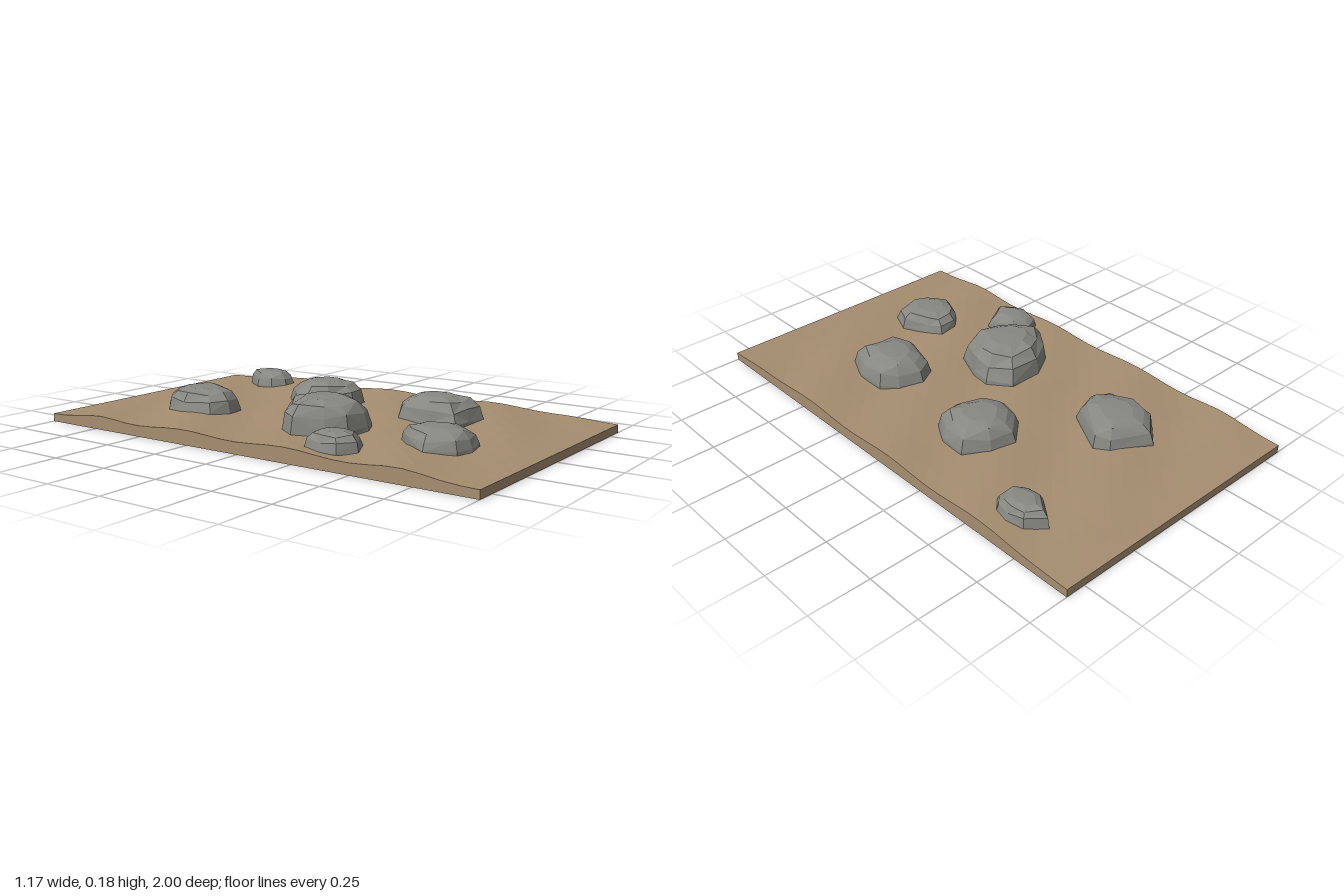
import * as THREE from 'three';

const sand = new THREE.MeshStandardMaterial({ color: 0xa68e70, flatShading: true });
sand.name = 'sandy brown';
const stone = new THREE.MeshStandardMaterial({ color: 0x888883, flatShading: true });
stone.name = 'stone grey';

// Height of the ground: diagonal ripples that die out towards both ends
function groundHeight(x, z) {
  const fade = THREE.MathUtils.smoothstep(1 - Math.abs(z), 0, 0.36);
  const ripple = -Math.sin((z + 0.67 * x - 0.46) * 4 * Math.PI);
  const swell = Math.sin(x * 9 + 1) * Math.cos(z * 7);
  return 0.033 + fade * (0.02 + 0.007 * ripple + 0.002 * swell);
}

// Slab whose top vertices follow the ripples
function makeGround() {
  const geo = new THREE.BoxGeometry(1.166, 0.033, 2, 16, 1, 28);
  const p = geo.attributes.position;
  for (let i = 0; i < p.count; i++) {
    p.setY(i, p.getY(i) > 0 ? groundHeight(p.getX(i), p.getZ(i)) : 0);
  }
  geo.computeVertexNormals();
  const mesh = new THREE.Mesh(geo, sand);
  mesh.name = 'ground';
  return mesh;
}

// Rings of a boulder: [share of outline, share of height, roundness]
const RINGS = [[1, 0, 0], [0.99, 0.22, 0], [0.91, 0.6, 0.15], [0.73, 0.86, 0.4], [0.44, 0.985, 0.6]];

// Boulder lofted from its ground outline up to a flattened crown
function makeRock({ name, top, outline }, seed) {
  const n = outline.length;
  const xs = outline.map((o) => o[0]), zs = outline.map((o) => o[1]);
  const cx = (Math.min(...xs) + Math.max(...xs)) / 2;
  const cz = (Math.min(...zs) + Math.max(...zs)) / 2;
  const rx = (Math.max(...xs) - Math.min(...xs)) / 2;
  const rz = (Math.max(...zs) - Math.min(...zs)) / 2;
  const base = 0.035;
  const pos = [], index = [];

  RINGS.forEach(([scale, h, round], r) => {
    outline.forEach(([x, z], i) => {
      const a = Math.atan2((z - cz) / rz, (x - cx) / rx);
      const dx = THREE.MathUtils.lerp(x - cx, Math.cos(a) * rx, round);
      const dz = THREE.MathUtils.lerp(z - cz, Math.sin(a) * rz, round);
      const chip = r === 0 ? 0 : Math.sin(i * 2.4 + r * 1.7 + seed * 3.1);
      const s = scale * (1 + 0.025 * Math.min(chip, 0));
      const lift = r === 2 || r === 3 ? 0.05 * chip : 0;
      pos.push(cx + dx * s, base + (top - base) * (h + lift), cz + dz * s);
    });
  });
  pos.push(cx, top, cz);

  for (let r = 0; r < RINGS.length - 1; r++) {
    for (let i = 0; i < n; i++) {
      const a = r * n + i, b = r * n + (i + 1) % n;
      const c = a + n, d = b + n;
      if ((i + r) % 2) index.push(a, c, b, b, c, d);
      else index.push(a, d, b, a, c, d);
    }
  }
  const last = (RINGS.length - 1) * n;
  for (let i = 0; i < n; i++) {
    index.push(RINGS.length * n, last + (i + 1) % n, last + i); // crown
    if (i > 1) index.push(0, i - 1, i); // buried underside
  }

  const indexed = new THREE.BufferGeometry();
  indexed.setAttribute('position', new THREE.Float32BufferAttribute(pos, 3));
  indexed.setIndex(index);
  const geo = indexed.toNonIndexed();
  geo.computeVertexNormals();
  const mesh = new THREE.Mesh(geo, stone);
  mesh.name = name;
  return mesh;
}

// Outlines are [x, z] points, clockwise from the back
const ROCKS = [
  { name: 'backRightRock', top: 0.145, outline: [[-0.21, -0.69], [-0.05, -0.61], [-0.02, -0.55],
    [-0.13, -0.36], [-0.225, -0.335], [-0.31, -0.37], [-0.34, -0.5], [-0.31, -0.6]] },
  { name: 'backLeftPebble', top: 0.118, outline: [[0.42, -0.76], [0.49, -0.7], [0.51, -0.63],
    [0.5, -0.57], [0.46, -0.53], [0.4, -0.53], [0.35, -0.58], [0.345, -0.66]] },
  { name: 'middleLeftRock', top: 0.15, outline: [[0.17, -0.33], [0.28, -0.31], [0.37, -0.24],
    [0.36, -0.12], [0.31, -0.03], [0.21, -0.02], [0.11, -0.08], [0.06, -0.16], [0.07, -0.24]] },
  { name: 'largeRock', top: 0.182, outline: [[-0.24, 0.04 - 0.08], [-0.09, -0.04], [-0.03, 0.06],
    [-0.04, 0.15], [-0.09, 0.27], [-0.16, 0.305], [-0.28, 0.29], [-0.35, 0.23], [-0.42, 0.12], [-0.35, 0.03]] },
  { name: 'frontRightPebble', top: 0.117, outline: [[-0.46, 0.235], [-0.39, 0.27], [-0.375, 0.33],
    [-0.36, 0.41], [-0.46, 0.46], [-0.53, 0.41], [-0.54, 0.34], [-0.52, 0.26]] },
  { name: 'frontRightRock', top: 0.127, outline: [[-0.24, 0.49], [-0.15, 0.48], [-0.12, 0.54],
    [-0.07, 0.66], [-0.11, 0.75], [-0.2, 0.77], [-0.28, 0.75], [-0.35, 0.65], [-0.29, 0.54]] },
  { name: 'frontLeftRock', top: 0.155, outline: [[0.16, 0.235], [0.26, 0.27], [0.315, 0.33],
    [0.315, 0.46], [0.27, 0.57], [0.17, 0.555], [0.07, 0.55], [0.04, 0.43], [0.08, 0.28]] },
];

export function createModel() {
  const model = new THREE.Group();
  model.name = 'rockyGround';
  model.add(makeGround());
  ROCKS.forEach((rock, i) => model.add(makeRock(rock, i)));
  return model;
}
